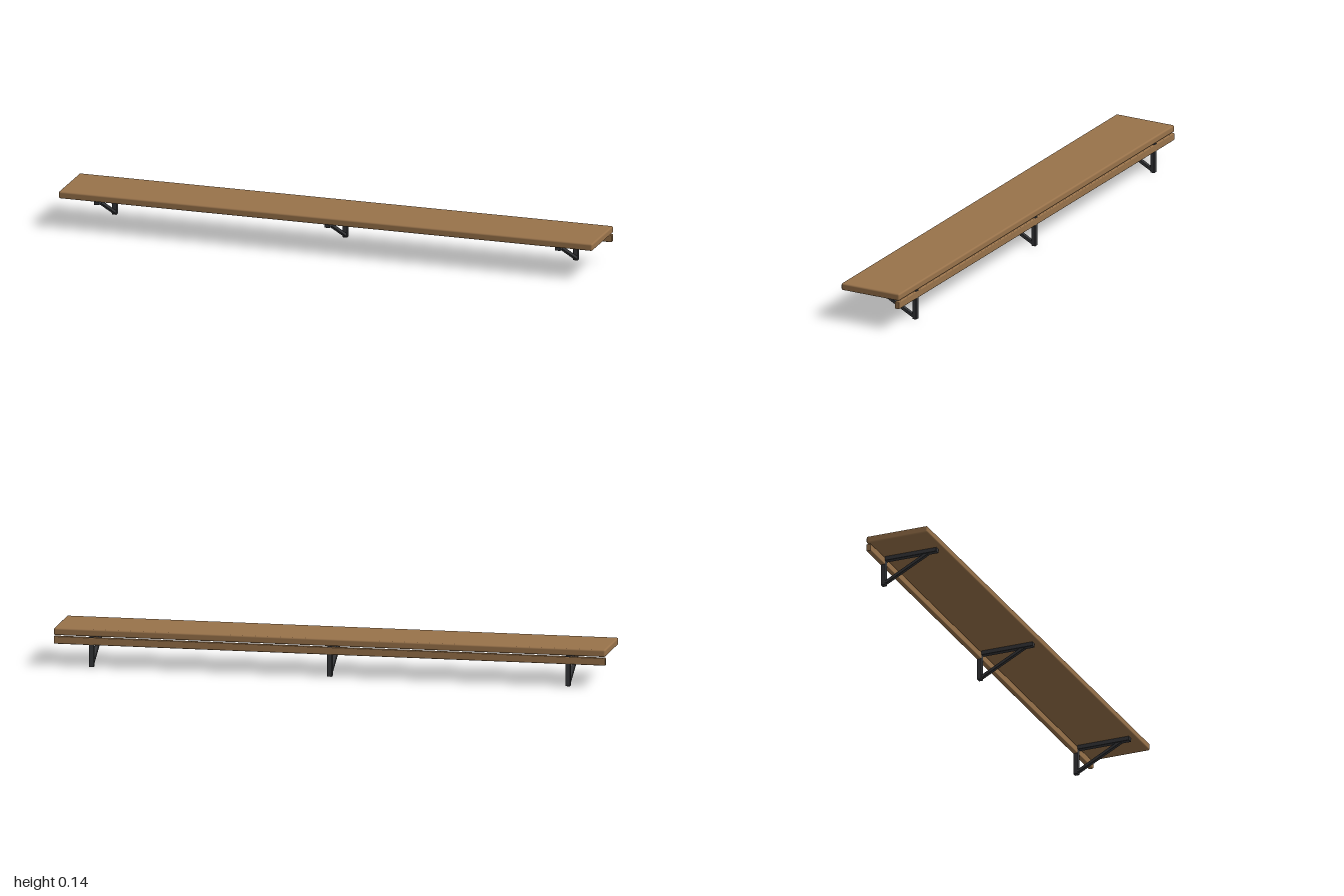
import * as THREE from 'three';
import { RoundedBoxGeometry } from 'three/addons/geometries/RoundedBoxGeometry.js';

const wood = new THREE.MeshStandardMaterial({ name: 'oak wood', color: 0x98724a });
const metal = new THREE.MeshStandardMaterial({ name: 'dark metal', color: 0x36373a });

// Rounded bar given by its size and centre
function bar(name, material, size, centre, radius) {
  const mesh = new THREE.Mesh(new RoundedBoxGeometry(...size, 3, radius), material);
  mesh.name = name;
  mesh.position.set(...centre);
  return mesh;
}

// Triangular bracket: upright post, level arm and sloping brace
function bracket(x) {
  const group = new THREE.Group();
  group.name = 'bracket';
  group.position.x = x;
  group.add(bar('post', metal, [0.018, 0.109, 0.0165], [0, 0.0545, -0.1085], 0.002));
  group.add(bar('arm', metal, [0.02, 0.016, 0.199], [0, 0.102, -0.0005], 0.002));

  const low = new THREE.Vector3(0, 0.01, -0.102);
  const high = new THREE.Vector3(0, 0.097, 0.064);
  const middle = low.clone().lerp(high, 0.5);
  const brace = bar('brace', metal, [0.014, 0.012, low.distanceTo(high)], middle.toArray(), 0.002);
  brace.rotation.x = -Math.atan2(high.y - low.y, high.z - low.z);
  group.add(brace);
  return group;
}

export function createModel() {
  const model = new THREE.Group();
  model.name = 'wallShelf';

  // Shelf board and the rail under its back edge
  model.add(bar('shelfBoard', wood, [2, 0.026, 0.236], [0, 0.124, 0], 0.006));
  model.add(bar('backRail', wood, [2, 0.027, 0.0175], [0, 0.0935, -0.10925], 0.003));

  for (const x of [-0.864, 0, 0.864]) model.add(bracket(x));
  return model;
}
